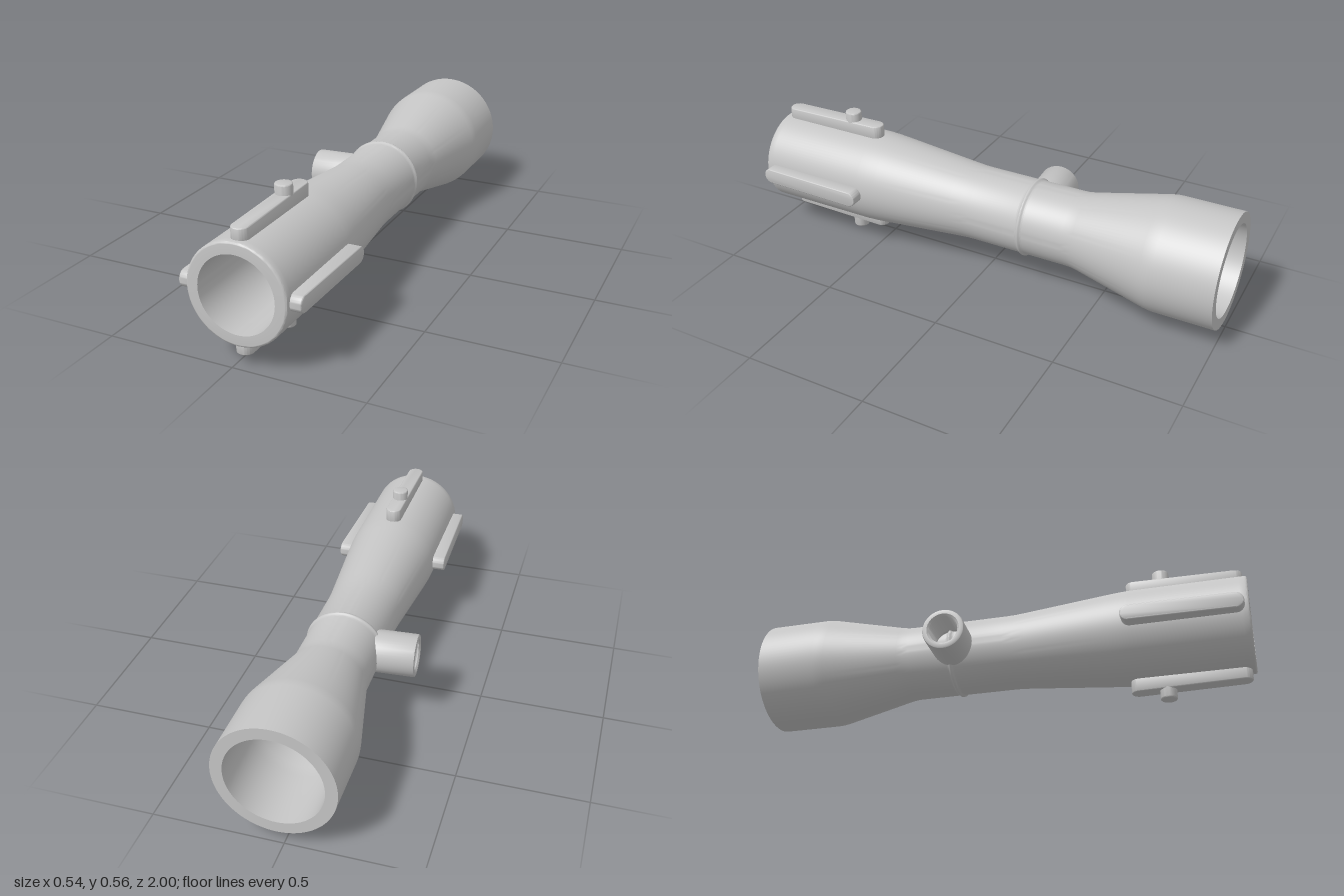
import * as THREE from 'three';
import { toCreasedNormals } from 'three/addons/utils/BufferGeometryUtils.js';

const AXIS_X = 0.0275, AXIS_Y = 0.278;

// Revolve [radius, height] pairs about y, keeping sharp edges crisp
function revolve(points, segments) {
  const profile = points.map(([r, h]) => new THREE.Vector2(r, h));
  return toCreasedNormals(new THREE.LatheGeometry(profile, segments), 0.55);
}

// Raised rail with round ends: long along z, height along y
function railGeometry() {
  const half = 0.2, r = 0.026, bevel = 0.007, base = 0.17, top = 0.238;
  const shape = new THREE.Shape();
  shape.absarc(0, half, r, 0, Math.PI, false);
  shape.absarc(0, -half, r, Math.PI, Math.PI * 2, false);
  shape.closePath();
  const geo = new THREE.ExtrudeGeometry(shape, {
    depth: top - base - 2 * bevel, bevelEnabled: true, bevelSize: bevel,
    bevelThickness: bevel, bevelSegments: 5, curveSegments: 16,
  });
  geo.translate(0, 0, base + bevel).rotateX(-Math.PI / 2);
  // The top slopes down slightly towards the front
  const p = geo.attributes.position;
  for (let i = 0; i < p.count; i++) {
    const y = p.getY(i);
    if (y > 0.2) p.setY(i, y - 0.0175 * p.getZ(i));
  }
  geo.translate(0, 0, 0.75);
  return toCreasedNormals(geo, 0.6);
}

export function createModel() {
  const model = new THREE.Group();
  model.name = 'pipeFitting';
  const grey = new THREE.MeshStandardMaterial({ color: 0xc5c5c5 });
  grey.name = 'lightGrey';

  const assembly = new THREE.Group();
  assembly.name = 'assembly';
  assembly.position.set(AXIS_X, AXIS_Y, 0);
  model.add(assembly);

  const add = (parent, name, geo) => {
    const mesh = new THREE.Mesh(geo, grey);
    mesh.name = name;
    parent.add(mesh);
    return mesh;
  };

  // Hollow body: outer wall from back to front, with a bead at the waist
  const outer = [
    [0.228, -1], [0.228, -0.76], [0.227, -0.74], [0.223, -0.715], [0.157, -0.42],
    [0.153, -0.395], [0.152, -0.37], [0.152, -0.206], [0.153, -0.201], [0.156, -0.197],
    [0.159, -0.194], [0.16, -0.19], [0.159, -0.186], [0.156, -0.183], [0.153, -0.179],
    [0.152, -0.174], [0.152, 0.03], [0.153, 0.07], [0.157, 0.12],
    [0.187, 0.46], [0.19, 0.5], [0.192, 0.54], [0.192, 0.97],
  ];
  // Rounded front lip
  for (let i = 0; i <= 6; i++) {
    const a = i / 6 * Math.PI / 2;
    outer.push([0.183 + 0.009 * Math.cos(a), 0.991 + 0.009 * Math.sin(a)]);
  }
  const bore = [
    [0.147, 1], [0.146, 0.54], [0.143, 0.48], [0.111, 0.12], [0.107, 0.04],
    [0.107, -0.38], [0.111, -0.42], [0.178, -0.715], [0.183, -0.76], [0.183, -1], [0.228, -1],
  ];
  add(assembly, 'body', revolve([...outer, ...bore], 96).rotateX(Math.PI / 2));

  // Four rails; the top and bottom ones carry a peg
  const rail = railGeometry();
  const peg = revolve([
    [0.033, 0.2], [0.033, 0.272], [0.0322, 0.275], [0.03, 0.2772], [0.027, 0.278], [0, 0.278],
  ], 32);
  ['top', 'right', 'bottom', 'left'].forEach((side, i) => {
    const mount = new THREE.Group();
    mount.name = side + 'Mount';
    mount.rotation.z = -i * Math.PI / 2;
    // Seen along the front, the model's own left is +x
    if (i % 2 === 1) mount.rotation.z *= -1;
    add(mount, side + 'Rail', rail);
    if (i % 2 === 0) add(mount, side + 'Peg', peg).position.z = 0.66;
    assembly.add(mount);
  });

  // Side port, slightly tilted, with a threaded bore
  const port = [[0.085, 0.118], [0.085, 0.285], [0.083, 0.29], [0.079, 0.292], [0.066, 0.292]];
  for (let h = 0.286; h > 0.15; h -= 0.014) port.push([0.058, h], [0.066, h - 0.007]);
  port.push([0.058, 0.135]);
  const portMesh = add(assembly, 'threadedPort',
    revolve(port, 48).rotateZ(Math.PI / 2).rotateY(0.06));
  portMesh.position.z = -0.188;

  return model;
}
